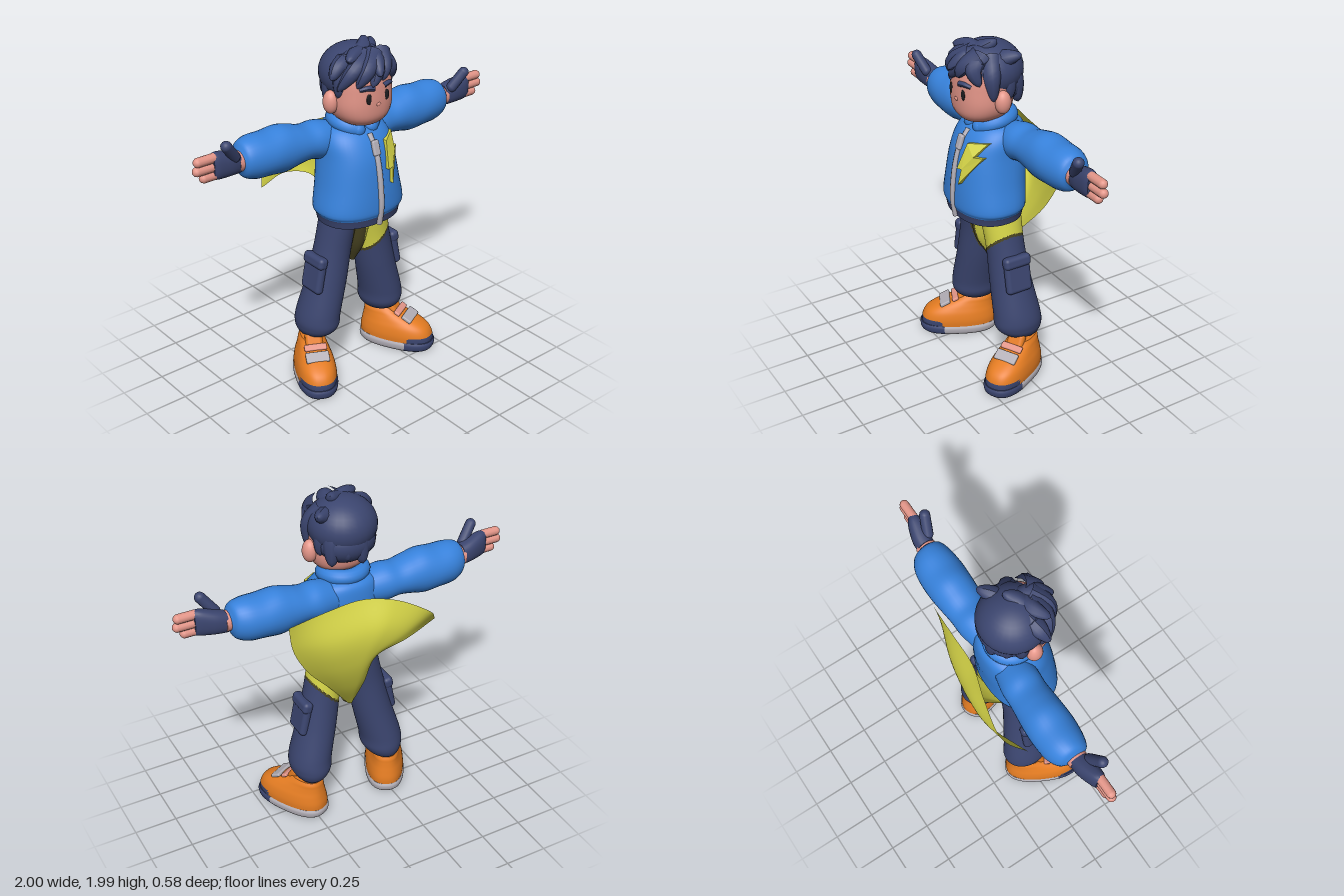
import * as THREE from 'three';
import { RoundedBoxGeometry } from 'three/addons/geometries/RoundedBoxGeometry.js';
import { ParametricGeometry } from 'three/addons/geometries/ParametricGeometry.js';

const V = (a) => new THREE.Vector3(...a);
const colour = (name, hex, side = THREE.FrontSide) => {
  const m = new THREE.MeshStandardMaterial({ color: hex, side });
  m.name = name;
  return m;
};

// Smooth solid through rows of [t, centre1, radius1, centreZ, radiusZ]; t runs along y or x
function loft(rows, { axis = 'y', p = 2, n = 32, steps = 5 } = {}) {
  const spline = new THREE.CubicInterpolant(rows.map((r, i) => i), rows.flat(), 5);
  const pos = [], idx = [], count = (rows.length - 1) * steps;
  const put = (t, a, z) => (axis === 'y' ? pos.push(a, t, z) : pos.push(t, a, z));
  const tri = (a, b, c) => (axis === 'y' ? idx.push(a, b, c) : idx.push(a, c, b));
  const ring = (k) => {
    const [t, c1, r1, c2, r2] = spline.evaluate(k / steps);
    for (let j = 0; j < n; j++) {
      const c = Math.cos(j / n * Math.PI * 2), s = Math.sin(j / n * Math.PI * 2);
      put(t, c1 + r1 * Math.sign(c) * Math.abs(c) ** (2 / p), c2 + r2 * Math.sign(s) * Math.abs(s) ** (2 / p));
    }
  };
  for (let k = 0; k <= count; k++) ring(k);
  for (let k = 0; k < count; k++) for (let j = 0; j < n; j++) {
    const a = k * n + j, b = k * n + (j + 1) % n;
    tri(a, a + n, b);
    tri(b, a + n, b + n);
  }
  for (const k of [0, count]) {
    const base = pos.length / 3, r = rows[k ? rows.length - 1 : 0];
    ring(k);
    put(r[0], r[1], r[3]);
    for (let j = 0; j < n; j++) {
      const a = base + j, b = base + (j + 1) % n;
      if (k) tri(a, base + n, b); else tri(a, b, base + n);
    }
  }
  const g = new THREE.BufferGeometry();
  g.setAttribute('position', new THREE.Float32BufferAttribute(pos, 3));
  g.setIndex(idx);
  g.computeVertexNormals();
  return g;
}

// Front z of a lofted body at (x, y)
function frontZ(rows, p, x, y) {
  let i = 0;
  while (i < rows.length - 2 && rows[i + 1][0] < y) i++;
  const f = THREE.MathUtils.clamp((y - rows[i][0]) / (rows[i + 1][0] - rows[i][0]), 0, 1);
  const [, , rx, cz, rz] = rows[i].map((v, k) => v + (rows[i + 1][k] - v) * f);
  return cz + rz * Math.max(0, 1 - Math.abs(x / rx) ** p) ** (1 / p);
}

// Sort triangles into material groups by their centre
function paint(g, pick) {
  const P = g.attributes.position, buckets = [], id = g.index.array;
  for (let i = 0; i < id.length; i += 3) {
    const t = [id[i], id[i + 1], id[i + 2]];
    const mid = (f) => t.reduce((s, v) => s + P[f](v), 0) / 3;
    (buckets[pick(mid('getX'), mid('getY'), mid('getZ'))] ??= []).push(...t);
  }
  let start = 0;
  buckets.forEach((b, m) => { g.addGroup(start, b.length, m); start += b.length; });
  g.setIndex(buckets.filter(Boolean).flat());
  return g;
}

// Tapered strand along a path
function lock(points, r, tip = 0) {
  const curve = new THREE.CatmullRomCurve3(points.map(V)), n = 14, m = 10;
  const g = new THREE.TubeGeometry(curve, n, r, m), P = g.attributes.position, v = new THREE.Vector3();
  for (let i = 0; i <= n; i++) {
    const t = i / n, c = curve.getPointAt(t), k = tip + (1 - tip) * Math.sqrt(1 - t);
    for (let j = 0; j <= m; j++) {
      v.fromBufferAttribute(P, i * (m + 1) + j).sub(c).multiplyScalar(k).add(c);
      P.setXYZ(i * (m + 1) + j, v.x, v.y, v.z);
    }
  }
  g.computeVertexNormals();
  return g;
}

const ball = (c, s) => new THREE.SphereGeometry(1, 28, 20).scale(...s).translate(...c);

function mirrored(g) {
  const m = g.clone().applyMatrix4(new THREE.Matrix4().makeScale(-1, 1, 1));
  const id = m.index ? Array.from(m.index.array) : Array.from({ length: m.attributes.position.count }, (_, i) => i);
  for (let i = 0; i < id.length; i += 3) [id[i + 1], id[i + 2]] = [id[i + 2], id[i + 1]];
  m.setIndex(id);
  return m;
}

export function createModel() {
  const model = new THREE.Group();
  const blue = colour('jacketBlue', 0x3782dc), navy = colour('navy', 0x3b456f), skin = colour('skin', 0xe39588);
  const yellow = colour('yellow', 0xd6d548, THREE.DoubleSide), orange = colour('orange', 0xe47c22);
  const grey = colour('grey', 0xb4b0b8), black = colour('black', 0x1d1d20), olive = colour('olive', 0x4a4522);
  const add = (name, g, mat) => {
    const m = new THREE.Mesh(g, mat);
    m.name = name;
    model.add(m);
  };
  const pair = (name, g, mat) => { add('left' + name, g, mat); add('right' + name, mirrored(g), mat); };

  // Jacket with dark hem, collar and zip
  const torso = [[.985, 0, .238, .07, .182], [1.03, 0, .248, .07, .19], [1.07, 0, .264, .07, .2], [1.2, 0, .238, .062, .2],
    [1.35, 0, .215, .045, .195], [1.45, 0, .205, .025, .172], [1.51, 0, .17, .005, .138], [1.54, 0, .11, -.01, .085]];
  add('jacket', paint(loft(torso, { p: 2.3, n: 48 }), (x, y) => (y < 1.03 ? 1 : 0)), [blue, navy]);
  const collar = [];
  for (let i = 0; i <= 12; i++) {
    const a = .42 + i / 12 * (Math.PI * 2 - .84), front = (1 + Math.cos(a)) / 2;
    collar.push(V([.108 * Math.sin(a), 1.55 - .045 * front ** 3, .025 + .102 * Math.cos(a)]));
  }
  add('collar', new THREE.TubeGeometry(new THREE.CatmullRomCurve3(collar), 48, .043, 14), blue);
  for (const end of [collar[0], collar[12]]) add('collarEnd', ball(end.toArray(), [.043, .043, .043]), blue);
  const zip = [.985, 1.03, 1.1, 1.2, 1.3, 1.4, 1.49].map((y) => V([0, y, frontZ(torso, 2.3, 0, y) + .002]));
  add('zip', new THREE.TubeGeometry(new THREE.CatmullRomCurve3(zip), 30, .017, 8), grey);
  add('zipPull', new RoundedBoxGeometry(.045, .085, .025, 3, .01).rotateX(-.3).translate(0, 1.425, frontZ(torso, 2.3, 0, 1.425) + .012), grey);

  // Bolt badge bent to the chest
  const bolt = new THREE.Shape([[.075, 1.445], [.05, 1.3], [.085, 1.305], [.075, 1.215], [.176, 1.385], [.135, 1.385], [.17, 1.46]]
    .map((q) => new THREE.Vector2(...q)));
  const badge = new THREE.ExtrudeGeometry(bolt, { depth: .03, bevelEnabled: false });
  const bp = badge.attributes.position;
  for (let i = 0; i < bp.count; i++) bp.setZ(i, bp.getZ(i) + frontZ(torso, 2.3, bp.getX(i), bp.getY(i)) - .003);
  badge.computeVertexNormals();
  add('boltBadge', badge, yellow);

  // Sleeves, wrists, gloves and fingers
  pair('Sleeve', loft([[.1, 1.435, .095, -.03, .1], [.2, 1.445, .108, -.04, .112], [.28, 1.45, .098, -.045, .111], [.36, 1.455, .114, -.048, .117],
    [.44, 1.456, .131, -.05, .123], [.53, 1.456, .122, -.05, .125], [.62, 1.459, .12, -.05, .115], [.68, 1.463, .1, -.045, .092],
    [.705, 1.465, .06, -.04, .06]], { axis: 'x' }), blue);
  pair('Wrist', new THREE.CylinderGeometry(.056, .056, .06, 20).rotateZ(Math.PI / 2).translate(.7, 1.466, -.035), skin);
  pair('Glove', loft([[.718, 1.467, .06, -.035, .05], [.78, 1.478, .068, -.028, .054], [.85, 1.49, .075, -.018, .044], [.885, 1.492, .071, -.014, .03]],
    { axis: 'x', p: 2.4 }), navy);
  pair('Thumb', new THREE.CapsuleGeometry(.03, .11, 6, 14).rotateX(.25).rotateZ(-.66).translate(.79, 1.56, .018), navy);
  for (const [y, end] of [[1.54, .992], [1.492, 1], [1.446, .962]])
    pair('Finger', new THREE.CapsuleGeometry(.026, end - .85 - .052, 6, 12).rotateZ(Math.PI / 2).translate((end + .85) / 2, y, -.012), skin);

  // Trousers, shirt tail and cargo pockets
  const leg = loft([[.12, .25, .05, -.05, .055], [.24, .25, .055, -.05, .06], [.27, .243, .09, -.025, .11], [.32, .237, .118, -.01, .14],
    [.4, .23, .122, -.003, .138], [.6, .18, .115, .01, .12], [.8, .14, .105, .02, .11], [.98, .105, .1, .03, .12]], { n: 80, steps: 22 });
  add('rightLeg', paint(mirrored(leg), (x, y, z) => (x > -.09 + (.98 - y) * .1 && y > .69 && z > 0 ? 1 : 0)), [navy, olive]);
  add('leftLeg', paint(leg, (x, y) => {
    const d = y - .7 - (x - .045);
    return d > .02 ? 1 : d > 0 ? 2 : 0;
  }), [navy, yellow, olive]);
  add('shirtTail', paint(loft([[.67, -.01, .012, .02, .03], [.8, -.01, .06, .03, .09], [.98, -.01, .1, .04, .115]], { n: 48, steps: 10 }),
    (x) => (x < .005 ? 1 : 0)), [yellow, olive]);
  pair('Pocket', new RoundedBoxGeometry(.05, .2, .16, 4, .024).rotateZ(.2).translate(.274, .66, .02), navy);
  pair('PocketFlap', new RoundedBoxGeometry(.06, .07, .168, 4, .024).rotateZ(.2).translate(.262, .745, .02), navy);

  // Shoes, turned outward
  const shoe = (name, g, mat) => pair(name, g.rotateY(.47).translate(.31, 0, .06), mat);
  shoe('Sole', paint(loft([[.005, 0, .108, .01, .218], [.02, 0, .117, .01, .23], [.045, 0, .12, .01, .234], [.062, 0, .114, .01, .228]], { p: 2.5, n: 60 }),
    (x, y, z) => (y < .006 ? 2 : z > .1 ? 1 : 0)), [grey, navy, black]);
  shoe('ShoeUpper', paint(loft([[.05, 0, .114, .008, .226], [.095, 0, .115, .006, .224], [.14, 0, .107, -.002, .208], [.175, 0, .094, -.025, .178],
    [.205, 0, .082, -.06, .138], [.225, 0, .075, -.085, .11], [.245, 0, .064, -.095, .092]], { p: 2.4, n: 60 }),
  (x, y, z) => (y < .095 && z > .12 ? 1 : 0)), [orange, navy]);
  shoe('Tongue', new RoundedBoxGeometry(.1, .1, .055, 4, .022).rotateX(-.5).translate(0, .24, -.02), orange);
  shoe('UpperStrap', new RoundedBoxGeometry(.13, .02, .04, 2, .008).rotateX(.5).translate(0, .224, .03), skin);
  shoe('LowerStrap', new RoundedBoxGeometry(.135, .022, .065, 2, .008).rotateX(.5).translate(0, .197, .092), grey);

  // Head, face and ears
  const head = [[1.545, 0, .06, .09, .07], [1.56, 0, .105, .09, .11], [1.6, 0, .15, .085, .145], [1.66, 0, .172, .082, .157],
    [1.74, 0, .172, .08, .158], [1.82, 0, .165, .075, .155], [1.9, 0, .13, .07, .13], [1.95, 0, .05, .07, .06]];
  add('head', loft(head, { p: 2.3 }), skin);
  add('neck', new THREE.CylinderGeometry(.065, .07, .16, 24).translate(0, 1.51, .04), skin);
  add('nose', ball([0, 1.682, .236], [.015, .012, .009]), skin);
  pair('Ear', ball([.178, 1.685, .06], [.042, .065, .045]), skin);
  pair('Eye', ball([.06, 1.72, frontZ(head, 2.3, .06, 1.72)], [.017, .03, .006]), black);
  pair('Brow', lock([[.03, 1.776, .234], [.07, 1.782, .228], [.108, 1.774, .208]], .016, .6), navy);

  // Hair: cap, nape and swept locks
  add('hairCap', ball([-.005, 1.815, .04], [.19, .158, .19]), navy);
  add('hairNape', ball([0, 1.745, -.015], [.162, .12, .13]), navy);
  const locks = [
    [[.03, 1.92, .15], [-.06, 1.87, .215], [-.12, 1.785, .205]], [[0, 1.91, .13], [-.11, 1.87, .17], [-.19, 1.765, .13]],
    [[.07, 1.91, .14], [.01, 1.865, .215], [-.05, 1.79, .25]], [[.08, 1.92, .14], [.05, 1.87, .22], [.02, 1.81, .245]],
    [[.07, 1.91, .13], [.1, 1.87, .19], [.145, 1.785, .18]], [[.08, 1.9, .08], [.148, 1.83, .11], [.168, 1.69, .11]],
    [[-.08, 1.9, .08], [-.148, 1.83, .11], [-.168, 1.715, .11]], [[-.08, 1.89, .08], [-.16, 1.88, .1], [-.222, 1.83, .12]],
    [[-.04, 1.9, .1], [.02, 1.94, .08], [.07, 1.99, .03]], [[.07, 1.87, .04], [.13, 1.905, .0], [.185, 1.93, -.05]],
    [[.02, 1.9, .1], [-.06, 1.93, .12], [-.15, 1.93, .17]], [[.03, 1.9, .1], [.02, 1.91, .18], [-.02, 1.85, .28]]];
  locks.forEach((q) => add('hairLock', lock(q, .064), navy));
  for (let i = 0; i < 6; i++) {
    const a = (i - 2.5) * .6, s = Math.sin(a), c = Math.cos(a), drop = i % 2 * .04;
    add('backLock', lock([[.07 * s, 1.86, .03 - .07 * c], [.125 * s, 1.77, .015 - .1 * c], [.15 * s, 1.635 + drop, .01 - .135 * c]], .08), navy);
  }

  // Windblown cape: columns from the left edge to the wing on the right
  const columns = [
    [[.43, 1.41, -.18], [.395, 1.24, -.155], [.3, 1.06, -.13], [.14, .87, -.1], [-.01, .67, -.02]],
    [[.22, 1.45, -.19], [.2, 1.26, -.235], [.16, 1.08, -.21], [.08, .88, -.14], [-.02, .67, -.025]],
    [[0, 1.47, -.2], [0, 1.29, -.27], [.03, 1.11, -.25], [.02, .9, -.17], [-.025, .67, -.03]],
    [[-.18, 1.44, -.25], [-.1, 1.29, -.285], [-.02, 1.12, -.255], [0, .91, -.175], [-.03, .67, -.03]],
    [[-.38, 1.32, -.27], [-.19, 1.23, -.285], [-.05, 1.12, -.25], [-.02, .91, -.17], [-.035, .67, -.025]],
    [[-.48, 1.19, -.17], [-.24, 1.18, -.26], [-.07, 1.11, -.235], [-.035, .9, -.16], [-.04, .67, -.02]],
  ].map((q) => new THREE.CatmullRomCurve3(q.map(V)));
  const cape = new ParametricGeometry((u, v, target) =>
    new THREE.CatmullRomCurve3(columns.map((c) => c.getPoint(v))).getPoint(u, target), 36, 36);
  cape.computeVertexNormals();
  add('cape', cape, yellow);
  return model;
}
